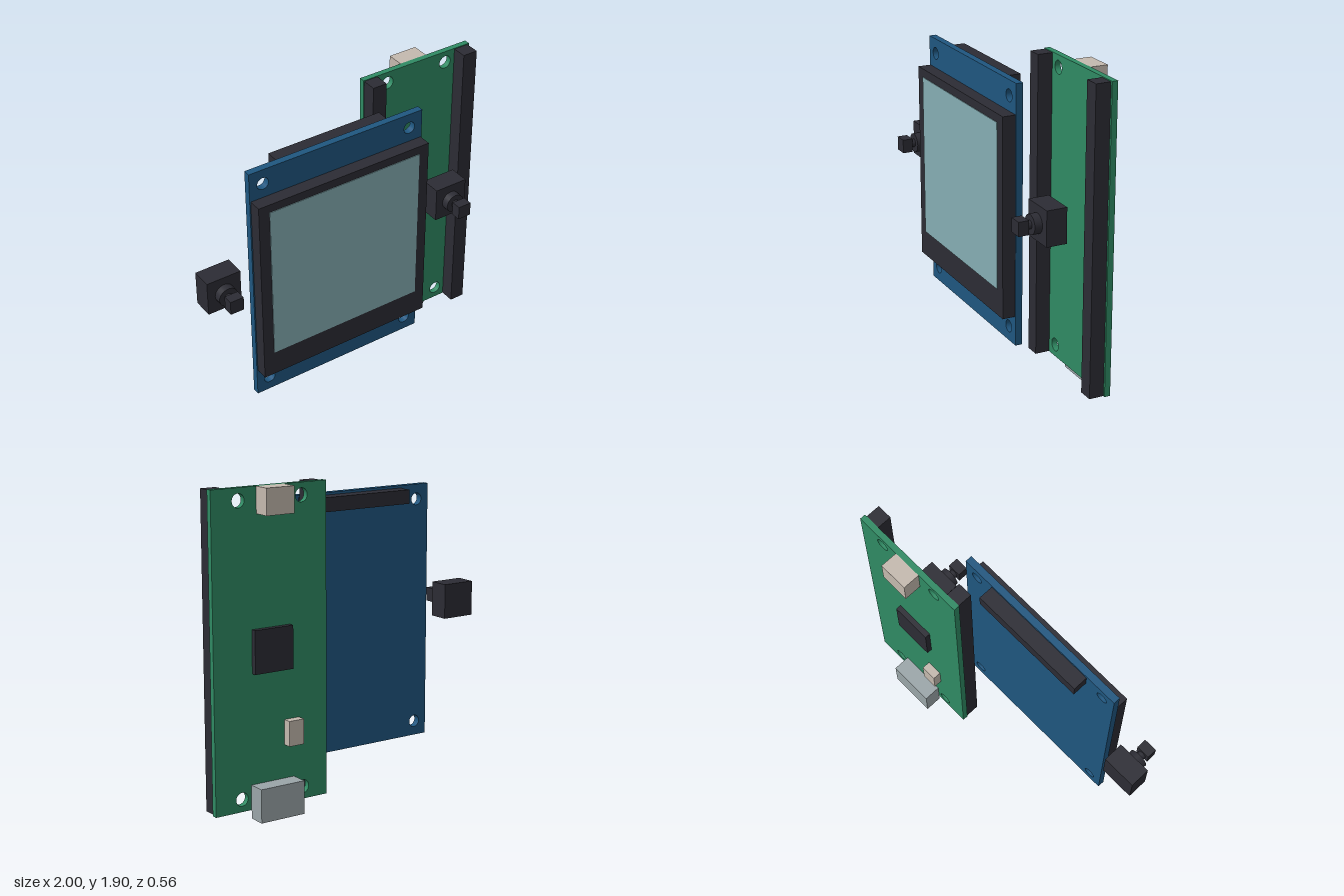
import * as THREE from 'three';

const material = (name, color) => {
  const m = new THREE.MeshStandardMaterial({ color });
  m.name = name;
  return m;
};

export function createModel() {
  const model = new THREE.Group();
  model.name = 'displayModule';
  const green = material('green board', 0x2f8a63);
  const blue = material('blue board', 0x1f567f);
  const black = material('black plastic', 0x2c2c34);
  const glass = material('screen glass', 0x85adb3);
  const beige = material('beige connector', 0xc4b9ae);
  const grey = material('grey metal', 0x9aa5a8);

  const add = (parent, name, geometry, mat) => {
    const mesh = new THREE.Mesh(geometry, mat);
    mesh.name = name;
    parent.add(mesh);
    return mesh;
  };

  // Box given by its limits on each axis
  const box = (parent, name, mat, [x0, x1], [y0, y1], [z0, z1]) => {
    const mesh = add(parent, name, new THREE.BoxGeometry(x1 - x0, y1 - y0, z1 - z0), mat);
    mesh.position.set((x0 + x1) / 2, (y0 + y1) / 2, (z0 + z1) / 2);
    return mesh;
  };

  // Flat board with four round mounting holes
  const board = (name, mat, [x0, x1], [y0, y1], [z0, z1], holeXs, holeYs, r) => {
    const shape = new THREE.Shape();
    shape.moveTo(x0, y0).lineTo(x1, y0).lineTo(x1, y1).lineTo(x0, y1).closePath();
    for (const x of holeXs) {
      for (const y of holeYs) {
        shape.holes.push(new THREE.Path().absarc(x, y, r, 0, Math.PI * 2, true));
      }
    }
    const geometry = new THREE.ExtrudeGeometry(shape, {
      depth: z1 - z0, bevelEnabled: false, curveSegments: 24,
    });
    add(model, name, geometry, mat).position.z = z0;
  };

  // Controller board with two long pin headers on its front
  board('controllerBoard', green, [0.24, 0.997], [0.051, 1.905], [-0.173, -0.137],
    [0.408, 0.823], [0.126, 1.833], 0.04);
  box(model, 'leftHeader', black, [0.89, 0.985], [0.053, 1.9], [-0.137, -0.046]);
  box(model, 'rightHeader', black, [0.244, 0.336], [0.053, 1.9], [-0.137, -0.046]);

  // Components on the back of the controller board
  box(model, 'chip', black, [0.49, 0.745], [0.85, 1.104], [-0.206, -0.173]);
  box(model, 'topConnector', beige, [0.524, 0.706], [1.752, 1.905], [-0.279, -0.173]);
  box(model, 'smallConnector', beige, [0.433, 0.533], [0.4, 0.55], [-0.225, -0.173]);
  box(model, 'cablePort', grey, [0.47, 0.761], [0, 0.2], [-0.279, -0.173]);

  // Display board with bezel, screen and rear connector
  board('displayBoard', blue, [-0.709, 0.449], [0.198, 1.787], [0.105, 0.148],
    [-0.622, 0.361], [0.288, 1.696], 0.037);
  box(model, 'bezel', black, [-0.702, 0.443], [0.381, 1.605], [0.148, 0.228]);
  box(model, 'screen', glass, [-0.633, 0.377], [0.545, 1.554], [0.228, 0.232]);
  box(model, 'rearConnector', black, [-0.5, 0.241], [1.687, 1.772], [0.013, 0.105]);

  // Push buttons on both sides: body, collar, stem and square cap
  for (const [name, x] of [['rightButton', -0.892], ['leftButton', 0.694]]) {
    const button = new THREE.Group();
    button.name = name;
    button.position.set(x, 1.05, 0);
    model.add(button);
    box(button, 'buttonBody', black, [-0.108, 0.108], [-0.108, 0.108], [0.013, 0.14]);
    for (const [part, r, z0, z1] of [['collar', 0.06, 0.14, 0.187], ['stem', 0.026, 0.187, 0.216]]) {
      const geometry = new THREE.CylinderGeometry(r, r, z1 - z0, 24).rotateX(Math.PI / 2);
      add(button, part, geometry, black).position.z = (z0 + z1) / 2;
    }
    box(button, 'cap', black, [-0.043, 0.043], [-0.043, 0.043], [0.216, 0.279]);
  }

  return model;
}
